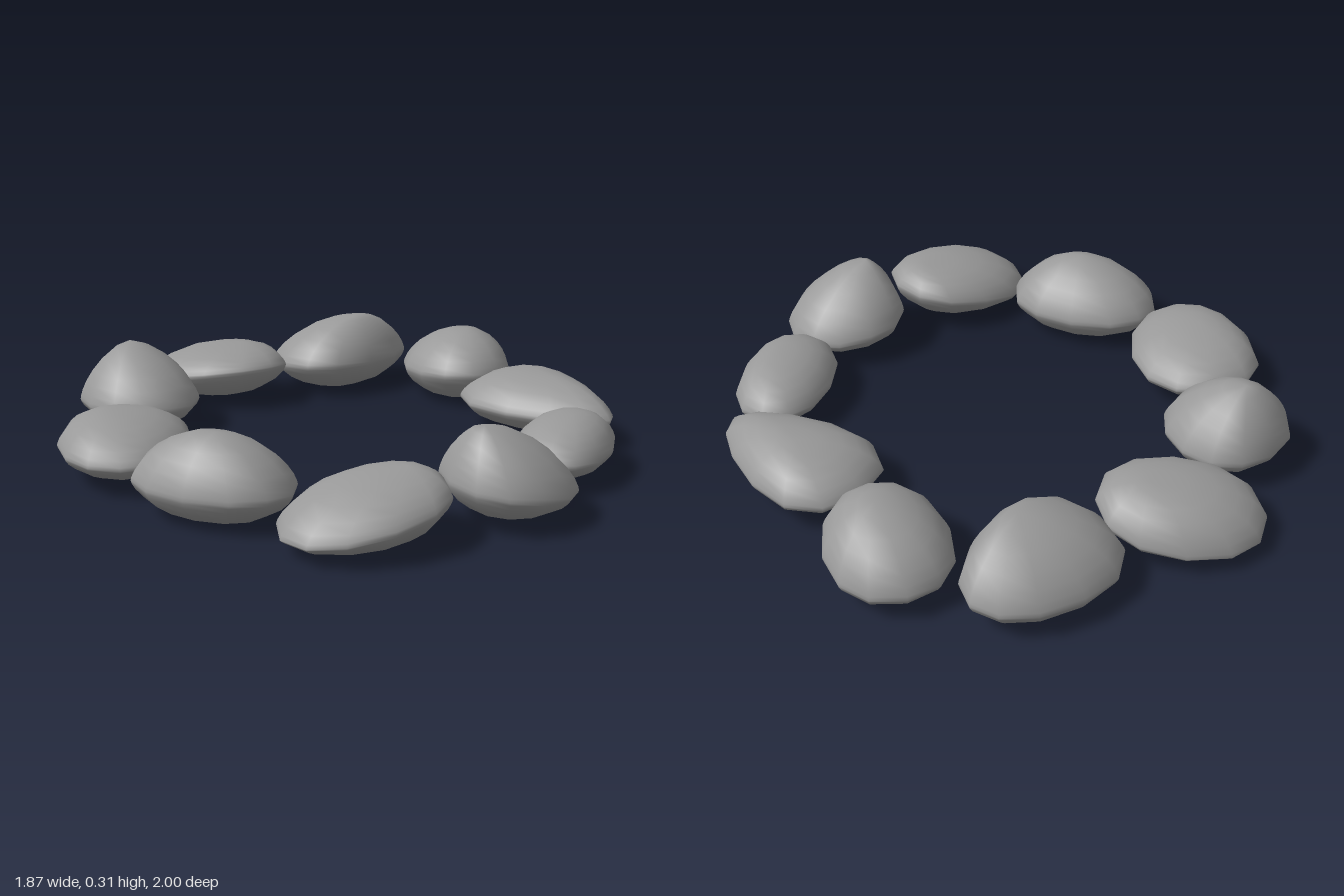
import * as THREE from 'three';

const SIDES = 12;
const { lerp, degToRad } = THREE.MathUtils;

// Outline scale of each ring, below and above the widest line
const LOWER = [0.4, 0.65, 0.85, 0.95, 0.99, 1];
const UPPER = [0.99, 0.95, 0.87, 0.74, 0.55, 0.3];

// Rounds an ellipse coordinate slightly towards a square
const bulge = (v) => Math.sign(v) * Math.abs(v) ** 0.93;

// A stone is a tapered oval in plan, lofted with a blunt rim down to a flat
// underside and up to its peak; low stones have flatter crowns than tall ones.
function stoneGeometry({ at, radii, turn = 0, taper = 0, peak, base = 0.02, tilt = [0, 0] }) {
  const cos = Math.cos(degToRad(turn)), sin = Math.sin(degToRad(turn));
  const rim = 0.08 + 0.1 * peak[1];
  const crown = 4.5 - 9.5 * peak[1];
  const outline = Array.from({ length: SIDES }, (_, j) => {
    const t = (j / SIDES) * Math.PI * 2;
    const u = radii[0] * bulge(Math.cos(t));
    const v = radii[1] * bulge(Math.sin(t)) * (1 + taper * Math.cos(t));
    const y = rim + tilt[0] * u + tilt[1] * v;
    return new THREE.Vector3(at[0] + u * cos - v * sin, y, at[1] + u * sin + v * cos);
  });

  const position = [];
  const addRing = (s, pole, power) => {
    const rise = (1 - s ** power) ** 0.67;
    for (const p of outline) {
      position.push(lerp(pole[0], p.x, s), lerp(p.y, pole[1], rise), lerp(pole[2], p.z, s));
    }
  };
  const foot = [at[0], base, at[1]];
  LOWER.forEach((s) => addRing(s, foot, 2.6));
  UPPER.forEach((s) => addRing(s, peak, crown));

  const rings = LOWER.length + UPPER.length;
  const bottom = rings * SIDES, top = bottom + 1;
  position.push(...foot, ...peak);

  const index = [];
  for (let j = 0; j < SIDES; j++) {
    const next = (j + 1) % SIDES;
    index.push(bottom, j, next);
    for (let k = 0; k < rings - 1; k++) {
      const a = k * SIDES + j, b = k * SIDES + next;
      index.push(a, a + SIDES, b + SIDES, a, b + SIDES, b);
    }
    const last = (rings - 1) * SIDES;
    index.push(last + j, top, last + next);
  }

  const geometry = new THREE.BufferGeometry();
  geometry.setAttribute('position', new THREE.Float32BufferAttribute(position, 3));
  geometry.setIndex(index);
  geometry.computeVertexNormals();
  return geometry;
}

export function createModel() {
  const group = new THREE.Group();
  group.name = 'stoneRing';
  const material = new THREE.MeshStandardMaterial({ color: 0x999999 });
  const addStone = (name, options) => {
    const mesh = new THREE.Mesh(stoneGeometry(options), material);
    mesh.name = name;
    group.add(mesh);
  };

  // Back of the ring
  addStone('backRightStone', { at: [-0.15, -0.78], radii: [0.27, 0.205], turn: 32, peak: [-0.06, 0.215, -0.74], tilt: [0.13, 0.16] });
  addStone('backLeftStone', { at: [0.37, -0.77], radii: [0.275, 0.2], turn: -10, taper: -0.18, peak: [0.41, 0.28, -0.71], base: 0, tilt: [0, 0.08] });

  // Left side
  addStone('leftBackStone', { at: [0.71, -0.45], radii: [0.24, 0.2], turn: 104, taper: -0.05, peak: [0.73, 0.26, -0.42], base: 0, tilt: [0.08, 0] });
  addStone('leftStone', { at: [0.755, 0.095], radii: [0.305, 0.19], turn: 72, taper: -0.42, peak: [0.77, 0.21, 0.04] });
  addStone('leftFrontStone', { at: [0.585, 0.515], radii: [0.25, 0.16], turn: -45, peak: [0.6, 0.205, 0.53] });

  // Front of the ring
  addStone('frontLeftStone', { at: [0.23, 0.77], radii: [0.21, 0.205], taper: -0.1, peak: [0.13, 0.31, 0.78], tilt: [-0.12, 0] });
  addStone('frontRightStone', { at: [-0.265, 0.785], radii: [0.265, 0.21], peak: [-0.12, 0.215, 0.77], base: 0.01, tilt: [0.18, 0] });

  // Right side
  addStone('rightFrontStone', { at: [-0.585, 0.395], radii: [0.27, 0.185], turn: 50, peak: [-0.59, 0.28, 0.43], base: 0 });
  addStone('rightStone', { at: [-0.72, -0.085], radii: [0.27, 0.22], turn: 110, taper: -0.12, peak: [-0.75, 0.21, -0.09] });
  addStone('rightBackStone', { at: [-0.52, -0.525], radii: [0.21, 0.205], turn: 80, taper: -0.12, peak: [-0.54, 0.31, -0.59] });
  return group;
}
